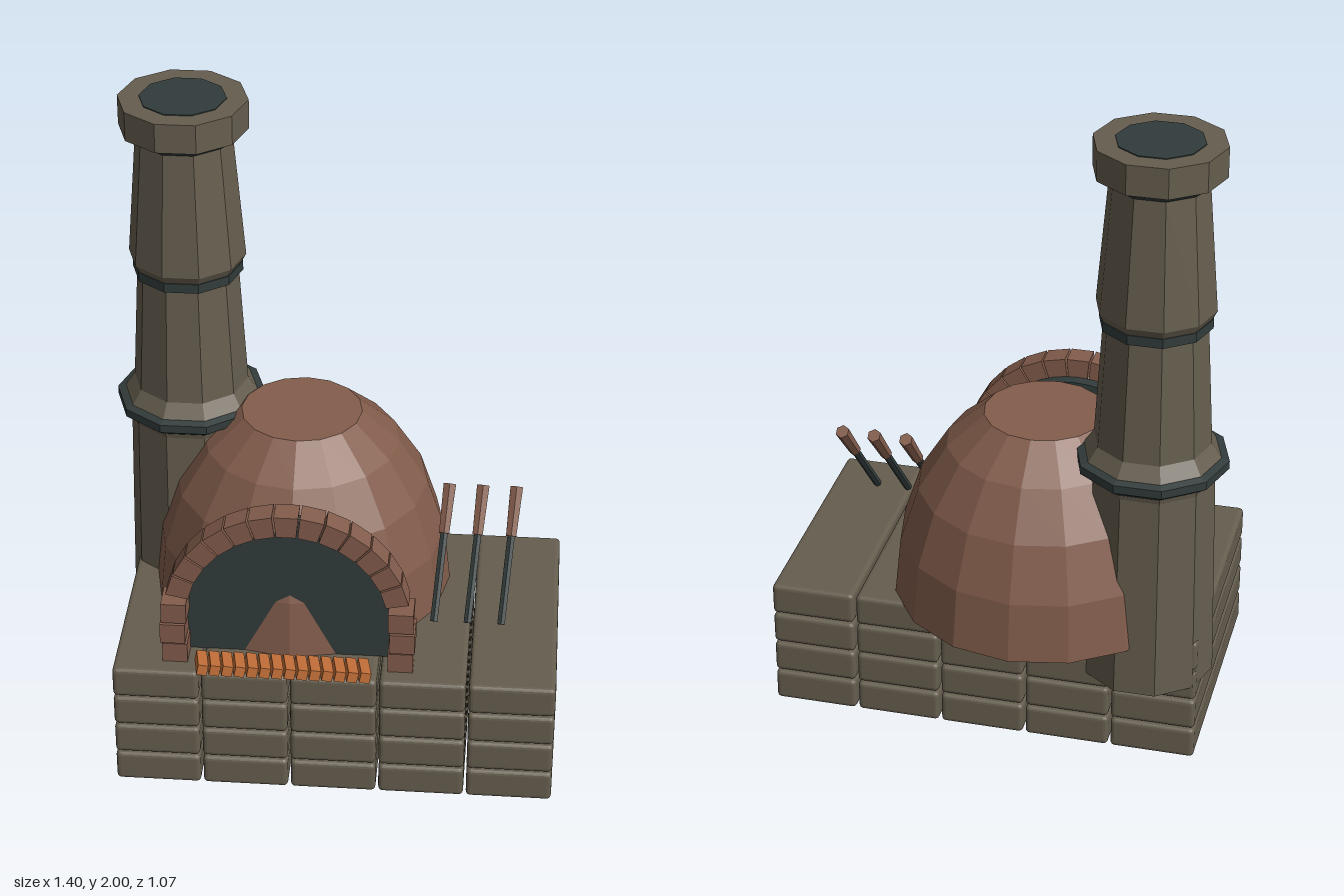
import * as THREE from 'three';
import { RoundedBoxGeometry } from 'three/addons/geometries/RoundedBoxGeometry.js';

const material = (name, color) => {
  const m = new THREE.MeshStandardMaterial({ color, flatShading: true });
  m.name = name;
  return m;
};

export function createModel() {
  const stone = material('stone', 0x665e4f);
  const clay = material('clay', 0x835d4c);
  const iron = material('iron', 0x323b3b);
  const wood = material('wood', 0xc26f38);

  const root = new THREE.Group();
  root.name = 'outdoorOven';
  const group = (name) => {
    const g = new THREE.Group();
    g.name = name;
    root.add(g);
    return g;
  };
  const add = (parent, name, geometry, mat, x = 0, y = 0, z = 0) => {
    const mesh = new THREE.Mesh(geometry, mat);
    mesh.name = name;
    mesh.position.set(x, y, z);
    parent.add(mesh);
    return mesh;
  };
  // Faceted solid of revolution from [radius, height] pairs, bottom to top
  const lathe = (pairs, sides, start = 0) => new THREE.LatheGeometry(
    pairs.map(([r, y]) => new THREE.Vector2(r, y)), sides, start);

  // Base of long stone slabs: five columns by four courses
  const base = group('base');
  const slab = new RoundedBoxGeometry(0.261, 0.101, 0.815, 2, 0.014);
  for (let col = 0; col < 5; col++) {
    for (let row = 0; row < 4; row++) {
      add(base, 'baseSlab', slab, stone, -0.514 + col * 0.2695, 0.0505 + row * 0.1065, 0.0925);
    }
  }

  // Dome: four bands, flat crown and closed underside
  const domeProfile = [[0, 0]];
  for (let i = 0; i <= 4; i++) {
    const a = THREE.MathUtils.degToRad(66.5 * i / 4);
    domeProfile.push([0.465 * Math.cos(a), 0.658 * Math.sin(a)]);
  }
  domeProfile.push([0, 0.658 * Math.sin(THREE.MathUtils.degToRad(66.5))]);
  add(root, 'dome', lathe(domeProfile, 16), clay, -0.115, 0.417, -0.07);

  // Dark arched oven mouth
  const archX = -0.117, archY = 0.59, inner = 0.303, outer = 0.372;
  const mouth = new THREE.Shape();
  mouth.moveTo(-inner, 0.42 - archY);
  mouth.lineTo(inner, 0.42 - archY);
  mouth.absarc(0, 0, inner + 0.008, 0, Math.PI, false);
  mouth.closePath();
  add(root, 'ovenMouth', new THREE.ExtrudeGeometry(mouth,
    { depth: 0.037, bevelEnabled: false, curveSegments: 12 }), iron, archX, archY, 0.33);

  // Brick surround: wedge bricks over two stacked pillars
  const surround = group('brickArch');
  const wedgeCount = 13, first = 0.2, span = (Math.PI - 2 * first) / wedgeCount;
  for (let i = 0; i < wedgeCount; i++) {
    const a = first + i * span + 0.008, b = first + (i + 1) * span - 0.008;
    const wedge = new THREE.Shape([[inner, a], [outer, a], [outer, b], [inner, b]].map(
      ([r, t]) => new THREE.Vector2(r * Math.cos(t), r * Math.sin(t))));
    add(surround, 'archBrick', new THREE.ExtrudeGeometry(wedge,
      { depth: 0.074, bevelEnabled: false }), clay, archX, archY, 0.367);
  }
  for (const side of [-1, 1]) {
    for (let row = 0; row < 3; row++) {
      const depth = row === 0 ? 0.08 : 0.094;
      add(surround, 'pillarBrick', new THREE.BoxGeometry(0.076, 0.067, depth), clay,
        archX + side * (row === 1 ? 0.346 : 0.341), 0.453 + row * 0.0745, 0.403);
    }
  }

  // Row of slanted wooden slats on the front ledge
  const slats = group('woodenSlats');
  for (let i = 0; i < 14; i++) {
    const slat = add(slats, 'slat', new THREE.BoxGeometry(0.031, 0.034, 0.088), wood,
      -0.372 + i * 0.0376, 0.452, 0.485);
    slat.rotation.set(-0.1, 0.18, -0.2);
  }

  // Ten-sided chimney, stacked from stone and iron sections
  const chimney = group('chimney');
  chimney.position.set(-0.47, 0, -0.195);
  const section = (name, mat, pairs) => {
    const closed = [[0, pairs[0][1]], ...pairs, [0, pairs[pairs.length - 1][1]]];
    add(chimney, name, lathe(closed, 10, Math.PI / 2), mat);
  };
  section('chimneyFoot', stone, [[0.204, 0.262], [0.19, 0.93], [0.2, 0.97]]);
  section('lowerCollar', iron, [[0.2, 0.95], [0.231, 0.972], [0.231, 0.998], [0.21, 1.005]]);
  section('lowerFlue', stone, [[0.21, 1.0], [0.177, 1.05], [0.155, 1.435]]);
  section('middleCollar', iron, [[0.168, 1.43], [0.168, 1.46]]);
  section('upperFlue', stone, [[0.165, 1.46], [0.178, 1.485], [0.145, 1.885]]);
  section('upperCollar', iron, [[0.145, 1.875], [0.178, 1.9], [0.19, 1.905]]);
  section('chimneyCap', stone, [[0.194, 1.905], [0.194, 1.997]]);
  section('flueOpening', iron, [[0.13, 1.994], [0.13, 2.0]]);

  // Three long-handled tools leaning toward the back
  const tools = group('ovenTools');
  const up = new THREE.Vector3(0, 1, 0);
  const rod = (name, a, b, rBottom, rTop, mat) => {
    const d = b.clone().sub(a);
    const mesh = add(tools, name, new THREE.CylinderGeometry(rTop, rBottom, d.length(), 6), mat);
    mesh.position.copy(a).lerp(b, 0.5);
    mesh.quaternion.setFromUnitVectors(up, d.normalize());
  };
  for (let i = 0; i < 3; i++) {
    const foot = new THREE.Vector3(0.315 + i * 0.1025, 0.482, 0.26);
    const tip = new THREE.Vector3(0.345 + i * 0.1025, 0.815, 0);
    const joint = foot.clone().lerp(tip, 0.64);
    rod('toolRod', foot, joint, 0.013, 0.013, iron);
    rod('toolHandle', joint, tip, 0.018, 0.022, clay);
  }

  return root;
}
